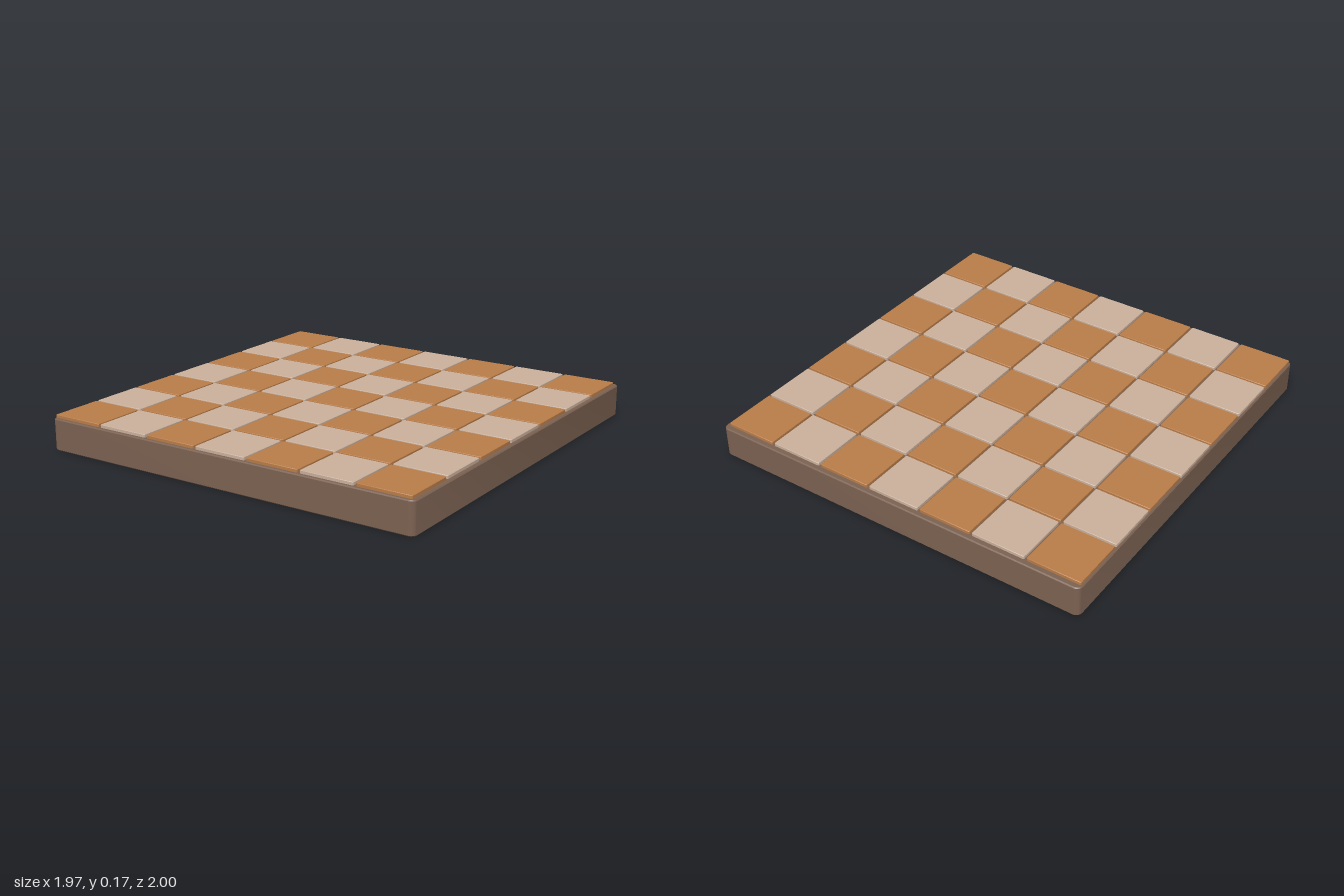
import * as THREE from 'three';
import { toCreasedNormals } from 'three/addons/utils/BufferGeometryUtils.js';

const GRID = 7;

// Slab with rounded corners and a fine chamfer, lying flat between y0 and y1
function slab(width, depth, y0, y1, radius, bevel) {
  const w = width / 2 - bevel, d = depth / 2 - bevel, r = radius;
  const s = new THREE.Shape();
  s.moveTo(-w + r, -d);
  s.lineTo(w - r, -d);
  s.absarc(w - r, -d + r, r, -Math.PI / 2, 0);
  s.lineTo(w, d - r);
  s.absarc(w - r, d - r, r, 0, Math.PI / 2);
  s.lineTo(-w + r, d);
  s.absarc(-w + r, d - r, r, Math.PI / 2, Math.PI);
  s.lineTo(-w, -d + r);
  s.absarc(-w + r, -d + r, r, Math.PI, Math.PI * 1.5);
  const geometry = new THREE.ExtrudeGeometry(s, {
    depth: y1 - y0 - 2 * bevel,
    bevelEnabled: true, bevelSize: bevel, bevelThickness: bevel, bevelSegments: 1,
    curveSegments: 5,
  });
  geometry.rotateX(-Math.PI / 2).translate(0, y0 + bevel, 0);
  return toCreasedNormals(geometry, 0.7);
}

export function createModel() {
  const group = new THREE.Group();
  const material = (name, color) => new THREE.MeshStandardMaterial({ name, color });
  const brown = material('brown base', 0x7b6151);
  const orange = material('orange tile', 0xb97c48);
  const cream = material('cream tile', 0xc9af9b);

  // Base block
  const base = new THREE.Mesh(slab(1.97, 2, 0, 0.155, 0.025, 0.005), brown);
  base.name = 'base';
  group.add(base);

  // Checkered tiles, set slightly toward the front
  const tiles = new THREE.Group();
  tiles.name = 'tiles';
  const tileGeometry = slab(0.267, 0.27, 0.145, 0.17, 0.004, 0.002);
  for (let row = 0; row < GRID; row++) {
    for (let col = 0; col < GRID; col++) {
      const isOrange = (row + col) % 2 === 0;
      const tile = new THREE.Mesh(tileGeometry, isOrange ? orange : cream);
      tile.name = isOrange ? 'orangeTile' : 'creamTile';
      tile.position.set((col - 3) * 0.279 - 0.005, 0, (row - 3) * 0.281 + 0.005);
      tiles.add(tile);
    }
  }
  group.add(tiles);
  return group;
}
